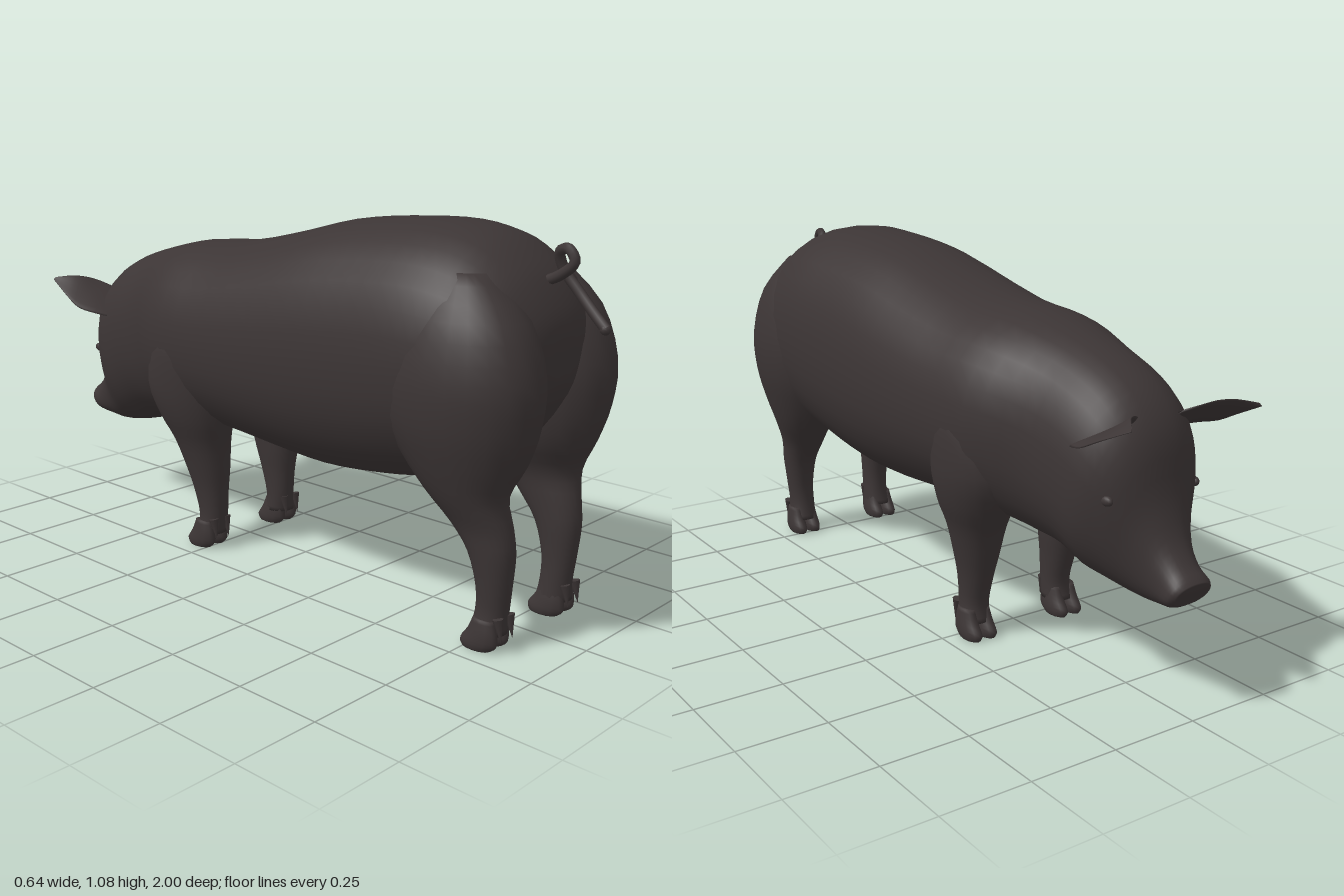
import * as THREE from 'three';

// Loft through elliptical sections [centre xyz, half-axis u xyz, half-axis v xyz].
// Sections are smoothed by a Catmull-Rom spline; e is the superellipse exponent.
function loft(secs, { sides = 24, steps = 3, e = 2, cup = 0 } = {}) {
  const rows = [];
  const last = secs.length - 1;
  for (let i = 0; i < last; i++) {
    const [a, b, c, d] = [i - 1, i, i + 1, i + 2].map(k => secs[Math.min(last, Math.max(0, k))]);
    for (let s = 0; s < steps; s++) {
      const t = s / steps;
      rows.push(b.map((p, k) => {
        const cubic = 3 * (p - c[k]) + d[k] - a[k];
        const square = 2 * a[k] - 5 * p + 4 * c[k] - d[k];
        return p + 0.5 * t * (c[k] - a[k] + t * (square + t * cubic));
      }));
    }
  }
  rows.push(secs[last]);

  const pos = [], idx = [];
  const pw = x => Math.sign(x) * Math.abs(x) ** (2 / e);
  for (const r of rows) {
    for (let j = 0; j < sides; j++) {
      const a = j / sides * Math.PI * 2, c = pw(Math.cos(a)), s = pw(Math.sin(a));
      const sv = s - cup * (1 - c * c);
      for (let k = 0; k < 3; k++) pos.push(r[k] + r[3 + k] * c + r[6 + k] * sv);
    }
  }
  const n = rows.length;
  for (let i = 0; i < n - 1; i++) for (let j = 0; j < sides; j++) {
    const a = i * sides + j, b = i * sides + (j + 1) % sides;
    idx.push(a, b, a + sides, b, b + sides, a + sides);
  }
  // End caps
  const c0 = n * sides, c1 = c0 + 1;
  for (const r of [rows[0], rows[n - 1]]) pos.push(r[0] - cup * r[6], r[1] - cup * r[7], r[2] - cup * r[8]);
  for (let j = 0; j < sides; j++) {
    const k = (j + 1) % sides, o = (n - 1) * sides;
    idx.push(c0, k, j, c1, o + j, o + k);
  }
  // Turn the faces outward when the enclosed volume is negative
  const p = i => new THREE.Vector3(pos[3 * i], pos[3 * i + 1], pos[3 * i + 2]);
  let vol = 0;
  for (let i = 0; i < idx.length; i += 3) vol += p(idx[i]).dot(p(idx[i + 1]).cross(p(idx[i + 2])));
  if (vol < 0) idx.reverse();
  const g = new THREE.BufferGeometry();
  g.setAttribute('position', new THREE.Float32BufferAttribute(pos, 3));
  g.setIndex(idx);
  g.computeVertexNormals();
  return g;
}

// Body section from its top point, bottom point and half width
const slice = ([zt, yt, zb, yb, w]) =>
  [0, (yt + yb) / 2, (zt + zb) / 2, w, 0, 0, 0, (yt - yb) / 2, (zt - zb) / 2];
// Level limb section from its height, z range and x range
const level = side => ([y, z0, z1, x0, x1]) =>
  [side * (x0 + x1) / 2, y, (z0 + z1) / 2, (x1 - x0) / 2, 0, 0, 0, 0, (z1 - z0) / 2];

const TORSO = [
  [0.895, 0.80, 0.89, 0.70, 0.05], [0.885, 0.86, 0.87, 0.64, 0.14],
  [0.85, 0.93, 0.82, 0.56, 0.22], [0.80, 0.99, 0.74, 0.47, 0.28],
  [0.71, 1.05, 0.62, 0.40, 0.305], [0.58, 1.075, 0.52, 0.375, 0.312],
  [0.40, 1.07, 0.38, 0.35, 0.31], [0.20, 1.045, 0.20, 0.337, 0.31],
  [0, 0.995, 0, 0.35, 0.307], [-0.20, 0.952, -0.20, 0.367, 0.298],
  [-0.40, 0.935, -0.38, 0.365, 0.28], [-0.58, 0.895, -0.50, 0.345, 0.218],
  [-0.72, 0.845, -0.60, 0.335, 0.2], [-0.81, 0.78, -0.68, 0.305, 0.186],
  [-0.862, 0.69, -0.74, 0.292, 0.152], [-0.882, 0.56, -0.80, 0.28, 0.108],
  [-0.915, 0.46, -0.85, 0.275, 0.077], [-0.955, 0.402, -0.895, 0.278, 0.064],
  [-0.985, 0.374, -0.94, 0.285, 0.066], [-0.997, 0.36, -0.962, 0.297, 0.055],
];
const HIND = [
  [0.97, 0.62, 0.77, 0.10, 0.21], [0.86, 0.52, 0.88, 0.035, 0.285],
  [0.72, 0.46, 0.93, 0.012, 0.319], [0.60, 0.47, 0.922, 0.012, 0.314],
  [0.50, 0.53, 0.89, 0.035, 0.288], [0.41, 0.61, 0.848, 0.085, 0.255],
  [0.33, 0.68, 0.86, 0.097, 0.218], [0.26, 0.735, 0.868, 0.102, 0.205],
  [0.17, 0.762, 0.86, 0.108, 0.193], [0.10, 0.762, 0.852, 0.108, 0.188],
  [0.045, 0.75, 0.85, 0.106, 0.198],
];
const FORE = [
  [0.76, -0.37, -0.22, 0.12, 0.24], [0.66, -0.43, -0.18, 0.08, 0.288],
  [0.52, -0.465, -0.165, 0.07, 0.29], [0.42, -0.43, -0.172, 0.075, 0.268],
  [0.34, -0.385, -0.19, 0.085, 0.235], [0.25, -0.35, -0.20, 0.092, 0.21],
  [0.18, -0.325, -0.208, 0.10, 0.195], [0.10, -0.303, -0.213, 0.105, 0.188],
  [0.045, -0.312, -0.218, 0.105, 0.197],
];
// Ear: outer edge xyz, inner edge xyz, from root to tip
const EAR = [
  [0.16, 0.665, -0.70, 0.07, 0.745, -0.83], [0.205, 0.68, -0.745, 0.10, 0.765, -0.87],
  [0.229, 0.695, -0.81, 0.135, 0.778, -0.895], [0.226, 0.725, -0.875, 0.17, 0.782, -0.925],
  [0.21, 0.768, -0.97, 0.204, 0.776, -0.966],
];

export function createModel() {
  const pig = new THREE.Group();
  pig.name = 'pig';
  const skin = new THREE.MeshStandardMaterial({ color: 0x3c3535 });
  skin.name = 'dark skin';
  const add = (name, geometry, parent = pig) => {
    const m = new THREE.Mesh(geometry, skin);
    m.name = name;
    parent.add(m);
    return m;
  };

  // Torso, neck, head and snout in one skin
  add('bodyAndHead', loft(TORSO.map(slice), { sides: 32, e: 2.2 }));

  for (const side of [1, -1]) {
    const label = side > 0 ? 'left' : 'right';

    // Legs, each with two toes and two dewclaws
    for (const [name, secs, toeZ] of [['HindLeg', HIND, 0.795], ['FrontLeg', FORE, -0.275]]) {
      const leg = new THREE.Group();
      leg.name = label + name;
      pig.add(leg);
      add('limb', loft(secs.map(level(side)), { e: 2.1 }), leg);
      for (const x of [0.129, 0.179]) {
        const toe = [
          [0.085, toeZ - 0.025, toeZ + 0.04, x - 0.018, x + 0.018],
          [0.05, toeZ - 0.04, toeZ + 0.05, x - 0.024, x + 0.024],
          [0.018, toeZ - 0.062, toeZ + 0.05, x - 0.026, x + 0.026],
          [0, toeZ - 0.055, toeZ + 0.03, x - 0.022, x + 0.022],
        ];
        add('toe', loft(toe.map(level(side)), { sides: 12 }), leg);
        const claw = add('dewclaw', new THREE.ConeGeometry(0.015, 0.065, 8), leg);
        claw.position.set(side * x, 0.065, toeZ + 0.058);
        claw.rotation.x = Math.PI - 0.2;
      }
    }

    // Cupped ear
    const ear = EAR.map(([ox, oy, oz, ix, iy, iz], i) => {
      const th = 0.014 * (1 - i * 0.2);
      return [side * (ox + ix) / 2, (oy + iy) / 2, (oz + iz) / 2,
        side * (ox - ix) / 2, (oy - iy) / 2, (oz - iz) / 2,
        side * th * 0.5, th * 0.8, -th * 0.3];
    });
    add(label + 'Ear', loft(ear, { sides: 16, cup: 0.8 }));

    // Eyelid
    const eye = add(label + 'Eye', new THREE.SphereGeometry(0.02, 14, 10));
    eye.scale.set(0.6, 0.7, 1.1);
    eye.position.set(side * 0.143, 0.55, -0.815);
  }

  // Curled tail
  const curl = new THREE.CatmullRomCurve3([
    [0, 0.93, 0.80], [0, 0.96, 0.87], [0, 0.995, 0.908], [0.003, 1.025, 0.888],
    [0.012, 1.015, 0.857], [0.028, 0.97, 0.86], [0.034, 0.92, 0.90],
    [0.03, 0.87, 0.95], [0.024, 0.835, 0.99],
  ].map(p => new THREE.Vector3(...p)));
  add('tail', new THREE.TubeGeometry(curl, 48, 0.014, 8));
  const tip = add('tailTip', new THREE.SphereGeometry(0.0145, 8, 6));
  tip.position.set(0.024, 0.835, 0.988);

  return pig;
}
